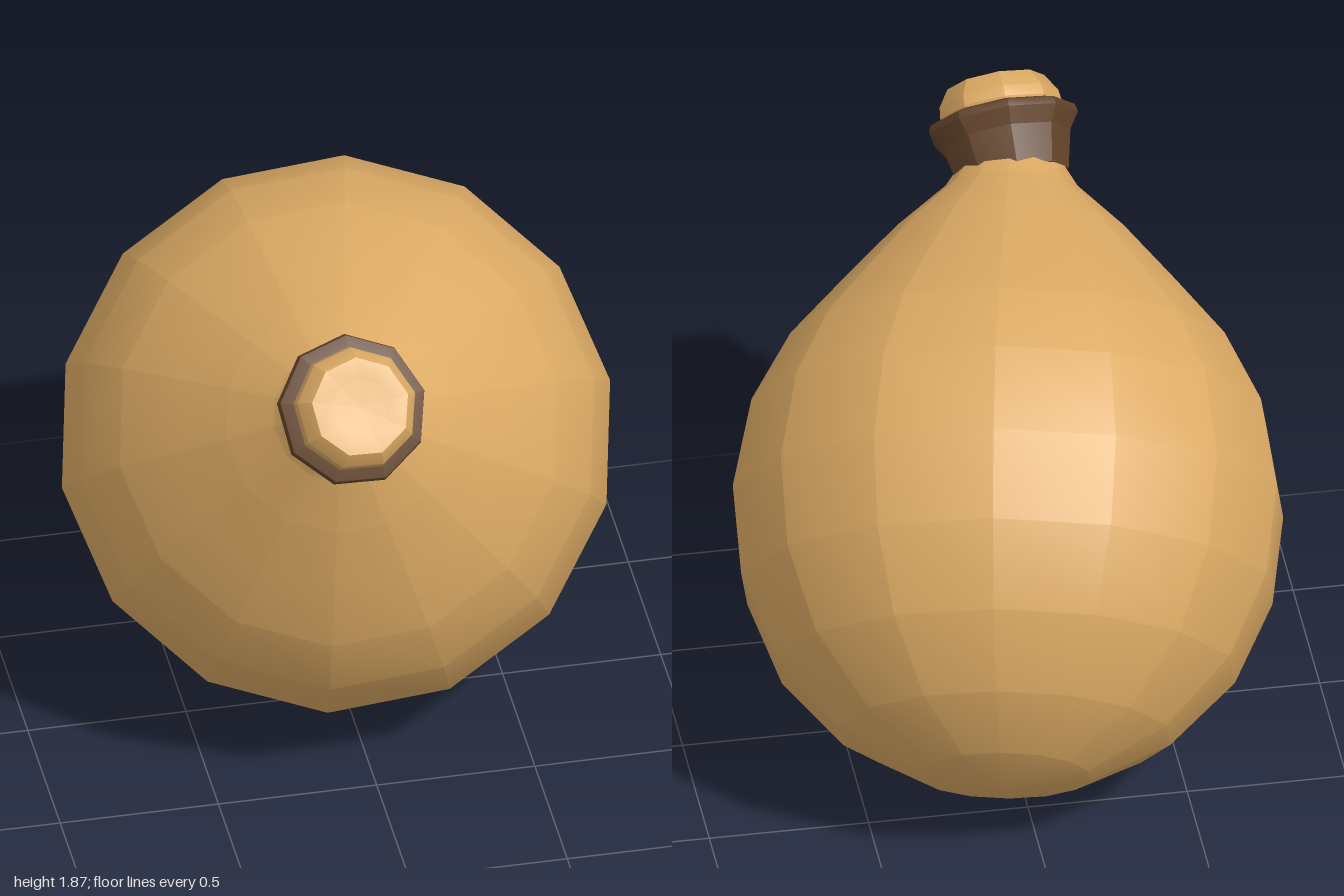
import * as THREE from 'three';
import { mergeVertices } from 'three/addons/utils/BufferGeometryUtils.js';

const UP = new THREE.Vector3(0, 1, 0);

// Faceted shading that is softened towards the smooth normals.
function softFacets(geometry, softness) {
  geometry.deleteAttribute('uv');
  geometry.deleteAttribute('normal');
  const welded = mergeVertices(geometry, 1e-4);
  welded.computeVertexNormals();
  const soft = welded.toNonIndexed();
  const flat = soft.clone();
  flat.computeVertexNormals();
  const a = new THREE.Vector3(), b = new THREE.Vector3();
  const normals = soft.attributes.normal;
  for (let i = 0; i < normals.count; i++) {
    a.fromBufferAttribute(flat.attributes.normal, i);
    b.fromBufferAttribute(normals, i);
    a.lerp(b, softness).normalize();
    normals.setXYZ(i, a.x, a.y, a.z);
  }
  return soft;
}

// Profile of [radius, height] turned about an axis that starts at origin.
function turned(name, profile, sides, origin, axis, color, softness) {
  const points = profile.map(([r, h]) => new THREE.Vector2(r, h));
  const geometry = new THREE.LatheGeometry(points, sides, Math.PI / sides);
  geometry.applyQuaternion(new THREE.Quaternion().setFromUnitVectors(UP, axis));
  geometry.translate(origin.x, origin.y, origin.z);
  const material = new THREE.MeshStandardMaterial({ color });
  const mesh = new THREE.Mesh(softFacets(geometry, softness), material);
  mesh.name = name;
  return mesh;
}

export function createModel() {
  const group = new THREE.Group();
  group.name = 'gourdFlask';
  const tan = 0xdcaa64, brown = 0x62432a;

  const centre = new THREE.Vector3(0.005, 0.9, -0.155);
  const neckBase = new THREE.Vector3(-0.147, 1.58, 0.665);
  const bodyAxis = neckBase.clone().sub(centre).normalize();
  const neckAxis = new THREE.Vector3(0.05, 0.63, 0.777).normalize();

  // Round belly drawn out into a short neck
  group.add(turned('body', [
    [0, -0.88], [0.27, -0.84], [0.52, -0.71], [0.72, -0.5], [0.835, -0.24],
    [0.865, 0.04], [0.81, 0.32], [0.69, 0.54], [0.53, 0.72], [0.36, 0.905],
    [0.21, 1.04], [0.165, 1.11],
  ], 14, centre, bodyAxis, tan, 0.6));

  // Dark flared band around the neck
  group.add(turned('collar', [
    [0.14, -0.01], [0.178, 0], [0.205, 0.12], [0.238, 0.17], [0.232, 0.195], [0.17, 0.215],
  ], 9, neckBase, neckAxis, brown, 0.25));

  // Stopper with a shallow dished end
  group.add(turned('stopper', [
    [0.17, 0.18], [0.195, 0.215], [0.19, 0.25], [0.155, 0.305], [0.09, 0.298], [0, 0.292],
  ], 9, neckBase, neckAxis, tan, 0.3));

  return group;
}
